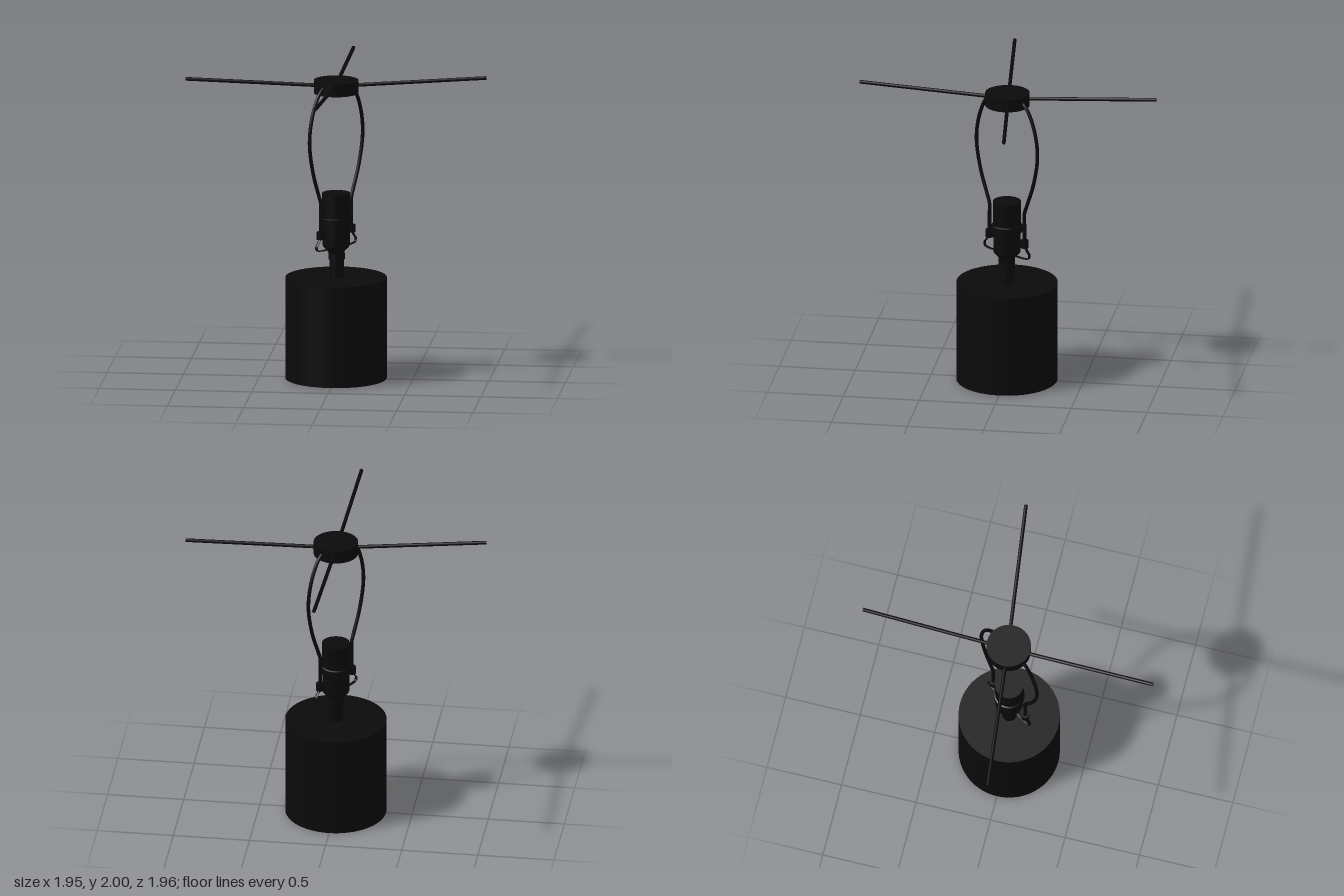
import * as THREE from 'three';

const black = new THREE.MeshStandardMaterial({ color: 0x0a0a0a });

export function createModel() {
  const model = new THREE.Group();
  model.name = 'tableLamp';

  const add = (parent, name, geometry) => {
    const mesh = new THREE.Mesh(geometry, black);
    mesh.name = name;
    parent.add(mesh);
    return mesh;
  };
  const cylinder = (parent, name, r, y0, y1, x = 0, z = 0, segments = 64) => {
    const mesh = add(parent, name, new THREE.CylinderGeometry(r, r, y1 - y0, segments));
    mesh.position.set(x, (y0 + y1) / 2, z);
    return mesh;
  };

  // Drum base and stem
  cylinder(model, 'base', 0.33, 0, 0.67);
  cylinder(model, 'stem', 0.048, 0.67, 0.86, 0.003, 0, 32);
  cylinder(model, 'stemCollar', 0.054, 0.79, 0.83, 0.003, 0, 32);

  // Bulb socket: tapered cup, threaded ring and shell; doubled points keep edges crisp
  const profile = [
    [0, 0.83], [0.05, 0.83], [0.05, 0.83], [0.06, 0.85], [0.085, 0.875], [0.089, 0.89],
    [0.089, 1.015], [0.089, 1.015], [0.1, 1.02], [0.1, 1.02], [0.1, 1.065], [0.1, 1.065],
    [0.091, 1.07], [0.091, 1.07], [0.091, 1.23], [0.091, 1.23], [0, 1.23],
  ].map(([r, y]) => new THREE.Vector2(r, y));
  add(model, 'socket', new THREE.LatheGeometry(profile, 48));

  // Harp, its ferrules and the flat saddle strip, built along x and then turned
  const harp = new THREE.Group();
  harp.name = 'harp';
  harp.rotation.y = 0.98;
  model.add(harp);
  const harpPath = [
    [0.155, 0.96], [0.155, 1.1], [0.155, 1.18], [0.175, 1.235], [0.235, 1.4], [0.27, 1.6],
    [0.243, 1.77], [0.18, 1.9], [0.13, 1.945],
  ];
  const saddlePath = [
    [0.16, 0.95], [0.178, 0.925], [0.198, 0.9], [0.194, 0.877], [0.16, 0.868], [0.09, 0.866], [0, 0.866],
  ];
  for (const side of [1, -1]) {
    const curve = (points) => new THREE.CatmullRomCurve3(
      points.map(([r, y]) => new THREE.Vector3(side * r, y, 0)), false, 'centripetal');
    add(harp, 'harpArm', new THREE.TubeGeometry(curve(harpPath), 64, 0.012, 12));
    cylinder(harp, 'harpFerrule', 0.027, 0.945, 0.995, side * 0.155, 0, 24);
    const saddle = add(harp, 'saddleStrip', new THREE.TubeGeometry(curve(saddlePath), 48, 0.004, 8));
    saddle.scale.z = 3;
  }

  // Hub disc with four slightly rising spokes
  cylinder(model, 'hub', 0.145, 1.895, 1.98, 0, -0.003);
  const spokeEnds = [[0.97, -0.13], [-0.975, 0.10], [0.01, -0.985], [-0.035, 0.975]];
  const centre = new THREE.Vector3(-0.005, 1.938, -0.008);
  const up = new THREE.Vector3(0, 1, 0);
  for (const [x, z] of spokeEnds) {
    const end = new THREE.Vector3(x, 1.988, z);
    const direction = end.clone().sub(centre);
    const spoke = add(model, 'spoke', new THREE.CylinderGeometry(0.012, 0.012, direction.length(), 16));
    spoke.position.copy(centre).add(end).multiplyScalar(0.5);
    spoke.quaternion.setFromUnitVectors(up, direction.normalize());
  }

  return model;
}
